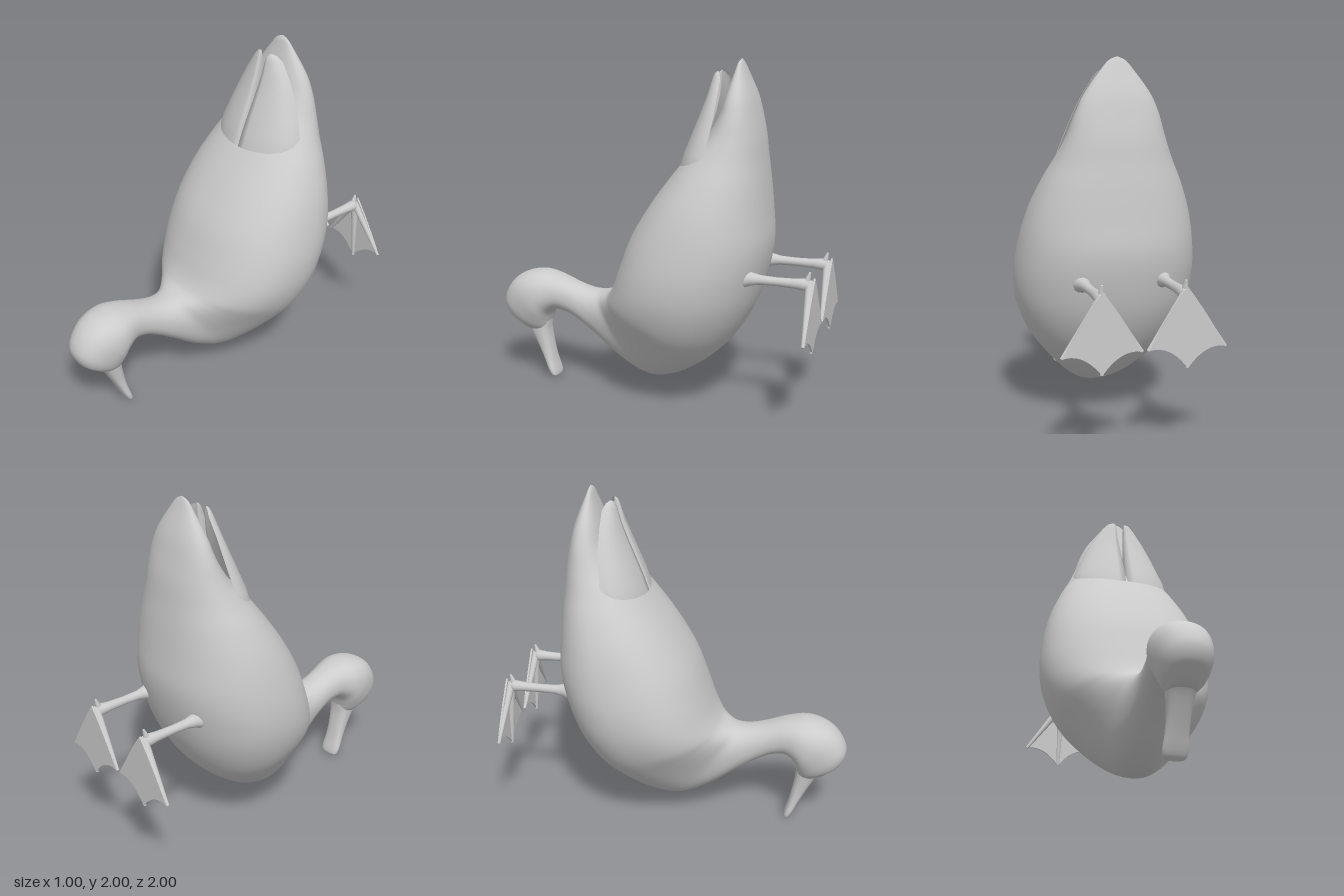
import * as THREE from 'three';

const material = new THREE.MeshStandardMaterial({ color: 0xcccccc, roughness: 0.8 });

function add(parent, geometry, name) {
  const mesh = new THREE.Mesh(geometry, material);
  mesh.name = name;
  parent.add(mesh);
  return mesh;
}

// Skin a list of closed rings (arrays of [x, y, z]) with smooth normals
function skin(rings) {
  const n = rings[0].length, index = [];
  for (let i = 0; i < rings.length - 1; i++) {
    for (let j = 0; j < n; j++) {
      const a = i * n + j, b = i * n + (j + 1) % n;
      index.push(a, b, a + n, b, b + n, a + n);
    }
  }
  const g = new THREE.BufferGeometry();
  g.setAttribute('position', new THREE.Float32BufferAttribute(rings.flat(2), 3));
  g.setIndex(index);
  g.computeVertexNormals();
  return g;
}

// Sections are [dorsal z, dorsal y, ventral z, ventral y, half width]
function loft(sections, steps, sides, power) {
  const dorsal = new THREE.CatmullRomCurve3(sections.map(s => new THREE.Vector3(s[4], s[1], s[0])));
  const ventral = new THREE.CatmullRomCurve3(sections.map(s => new THREE.Vector3(s[4], s[3], s[2])));
  const round = v => Math.sign(v) * Math.abs(v) ** (2 / power);
  const rings = [];
  for (let i = 0; i <= steps; i++) {
    const d = dorsal.getPoint(i / steps), v = ventral.getPoint(i / steps);
    const ring = [];
    for (let j = 0; j < sides; j++) {
      const a = j / sides * Math.PI * 2, c = round(Math.cos(a)), s = round(Math.sin(a));
      ring.push([
        Math.max(0, (d.x + v.x) / 2) * c,
        (d.y + v.y) / 2 + (d.y - v.y) / 2 * s,
        (d.z + v.z) / 2 + (d.z - v.z) / 2 * s,
      ]);
    }
    rings.push(ring);
  }
  return skin(rings);
}

// Tail, body, neck and head as one continuous skin
const bodySections = [
  [-0.5, 2.0, -0.5, 2.0, 0],
  [-0.485, 1.98, -0.51, 1.98, 0.045],
  [-0.47, 1.93, -0.53, 1.93, 0.09],
  [-0.43, 1.8, -0.58, 1.8, 0.185],
  [-0.4, 1.7, -0.605, 1.7, 0.23],
  [-0.33, 1.58, -0.63, 1.58, 0.27],
  [-0.235, 1.48, -0.645, 1.45, 0.32],
  [-0.145, 1.37, -0.66, 1.32, 0.38],
  [-0.02, 1.2, -0.675, 1.15, 0.445],
  [0.1, 1.0, -0.685, 0.98, 0.485],
  [0.17, 0.82, -0.655, 0.8, 0.5],
  [0.215, 0.7, -0.59, 0.6, 0.48],
  [0.25, 0.64, -0.47, 0.4, 0.425],
  [0.28, 0.615, -0.31, 0.25, 0.34],
  [0.32, 0.602, -0.14, 0.15, 0.25],
  [0.36, 0.597, 0.0, 0.12, 0.185],
  [0.41, 0.6, 0.18, 0.19, 0.145],
  [0.46, 0.61, 0.36, 0.315, 0.118],
  [0.52, 0.627, 0.48, 0.395, 0.11],
  [0.58, 0.648, 0.56, 0.435, 0.112],
  [0.65, 0.67, 0.64, 0.45, 0.127],
  [0.76, 0.685, 0.69, 0.42, 0.155],
  [0.87, 0.66, 0.71, 0.37, 0.16],
  [0.95, 0.6, 0.715, 0.345, 0.15],
  [1.0, 0.5, 0.72, 0.325, 0.132],
  [0.98, 0.42, 0.725, 0.315, 0.112],
  [0.93, 0.37, 0.735, 0.305, 0.088],
  [0.88, 0.33, 0.745, 0.3, 0.07],
  [0.82, 0.31, 0.78, 0.3, 0.03],
];

const billSections = [
  [0.88, 0.36, 0.71, 0.36, 0.08],
  [0.835, 0.3, 0.71, 0.3, 0.072],
  [0.785, 0.21, 0.692, 0.19, 0.062],
  [0.745, 0.13, 0.675, 0.11, 0.062],
  [0.708, 0.05, 0.655, 0.04, 0.066],
  [0.69, 0.02, 0.652, 0.015, 0.058],
  [0.672, 0.006, 0.66, 0.005, 0.03],
  [0.666, 0.002, 0.666, 0.002, 0],
];

// Folded wing tip: crescent sections [y, front z, edge z, inner x, outer x, thickness]
function wingGeometry() {
  const sections = [
    [1.93, -0.372, -0.38, 0.04, 0.045, 0.005],
    [1.92, -0.358, -0.395, 0.03, 0.075, 0.015],
    [1.89, -0.345, -0.41, 0.027, 0.105, 0.03],
    [1.8, -0.322, -0.412, 0.022, 0.165, 0.045],
    [1.7, -0.285, -0.41, 0.017, 0.215, 0.06],
    [1.6, -0.245, -0.4, 0.012, 0.255, 0.07],
    [1.5, -0.205, -0.385, 0.008, 0.293, 0.08],
    [1.42, -0.178, -0.38, 0.006, 0.31, 0.08],
    [1.3, -0.15, -0.38, 0.005, 0.32, 0.08],
  ];
  return skin(sections.map(([y, front, edge, inner, outer, thick]) => {
    const ring = [], n = 12;
    for (let j = 0; j <= 2 * n + 1; j++) {
      const under = j > n, a = (under ? 2 * n + 1 - j : j) / n * Math.PI / 2;
      const depth = front - edge - (under ? thick : 0);
      ring.push([inner + (outer - inner) * Math.cos(a), y, edge + depth * Math.sin(a) ** 0.9]);
    }
    return ring;
  }));
}

// Tapered rod between two points
function rod(parent, from, to, r0, r1, name) {
  const a = new THREE.Vector3(...from), b = new THREE.Vector3(...to);
  const dir = b.clone().sub(a);
  const mesh = add(parent, new THREE.CylinderGeometry(r1, r0, dir.length(), 10), name);
  mesh.position.copy(a).addScaledVector(dir, 0.5);
  mesh.quaternion.setFromUnitVectors(new THREE.Vector3(0, 1, 0), dir.normalize());
}

// Leg reaching backwards with a webbed foot hanging from the ankle
function makeLeg() {
  const leg = new THREE.Group();
  const profile = [[0.055, 0], [0.038, 0.04], [0.027, 0.09], [0.024, 0.18], [0.028, 0.29], [0.034, 0.34], [0.024, 0.375], [0, 0.385]];
  const shank = add(leg, new THREE.LatheGeometry(profile.map(p => new THREE.Vector2(...p)), 14), 'shank');
  shank.rotation.x = -Math.PI / 2;
  shank.position.set(0.22, 0.83, -0.6);

  const tips = [[0.015, 0.555], [0.225, 0.45], [0.43, 0.55]];
  const web = new THREE.Shape();
  web.moveTo(0.22, 0.87);
  web.quadraticCurveTo(0.12, 0.74, ...tips[0]);
  web.quadraticCurveTo(0.125, 0.585, ...tips[1]);
  web.quadraticCurveTo(0.325, 0.58, ...tips[2]);
  web.quadraticCurveTo(0.32, 0.74, 0.22, 0.87);
  const webbing = add(leg, new THREE.ExtrudeGeometry(web, { depth: 0.01, bevelEnabled: false, curveSegments: 10 }), 'webbing');
  webbing.position.z = -0.995;

  for (const [x, y] of tips) rod(leg, [0.22, 0.84, -0.965], [x, y, -0.986], 0.023, 0.009, 'toe');
  rod(leg, [0.22, 0.85, -0.95], [0.22, 0.9, -0.965], 0.018, 0.006, 'hindToe');
  return leg;
}

export function createModel() {
  const duck = new THREE.Group();
  duck.name = 'divingDuck';
  add(duck, loft(bodySections, 140, 48, 2.25), 'body');
  add(duck, loft(billSections, 35, 28, 2.6), 'bill');

  // Paired parts, mirrored across x
  for (const [side, label] of [[1, 'left'], [-1, 'right']]) {
    const half = new THREE.Group();
    half.name = label + 'Side';
    half.scale.x = side;
    add(half, wingGeometry(), label + 'WingTip');
    const eye = add(half, new THREE.SphereGeometry(0.021, 16, 12), label + 'Eye');
    eye.position.set(0.108, 0.43, 0.87);
    const leg = makeLeg();
    leg.name = label + 'Leg';
    half.add(leg);
    duck.add(half);
  }
  return duck;
}
